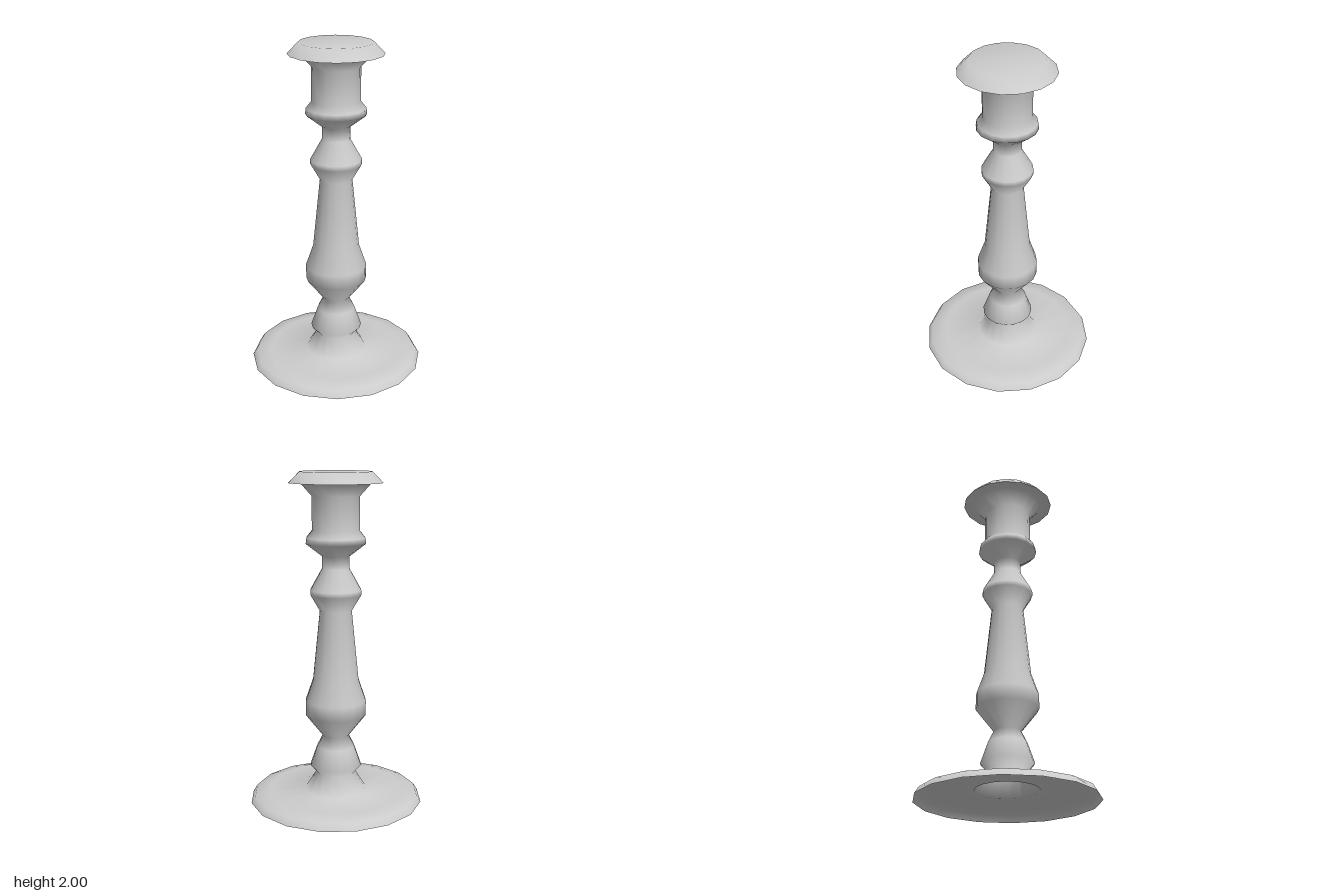
import * as THREE from 'three';

const SIDES = 16;

// Smooth turned part from [radius, height] pairs, listed bottom to top
function turned(name, profile) {
  const points = profile.map(([r, y]) => new THREE.Vector2(r, y));
  const material = new THREE.MeshStandardMaterial({ color: 0xcccccc, side: THREE.DoubleSide });
  const mesh = new THREE.Mesh(new THREE.LatheGeometry(points, SIDES), material);
  mesh.name = name;
  return mesh;
}

export function createModel() {
  const group = new THREE.Group();
  group.name = 'candlestick';

  // Hollow foot and turned stem in one continuous shell, open underneath
  group.add(turned('footAndStem', [
    // round foot
    [0.53, 0], [0.505, 0.04], [0.41, 0.06], [0.187, 0.06],
    // lower bell
    [0.118, 0.17], [0.157, 0.215], [0.115, 0.335], [0.08, 0.405],
    // bulb and tapering shaft
    [0.185, 0.54], [0.185, 0.63], [0.14, 0.76], [0.097, 1.185],
    // upper knop and neck
    [0.153, 1.28], [0.153, 1.31], [0.083, 1.435], [0.083, 1.51],
    // candle cup with flared underside of the rim
    [0.18, 1.585], [0.175, 1.62], [0.143, 1.66], [0.143, 1.86],
    [0.21, 1.935], [0.28, 1.935],
  ]));

  // Bevelled, closed top of the rim
  group.add(turned('rimTop', [[0.28, 1.935], [0.215, 2], [0, 2]]));

  return group;
}
